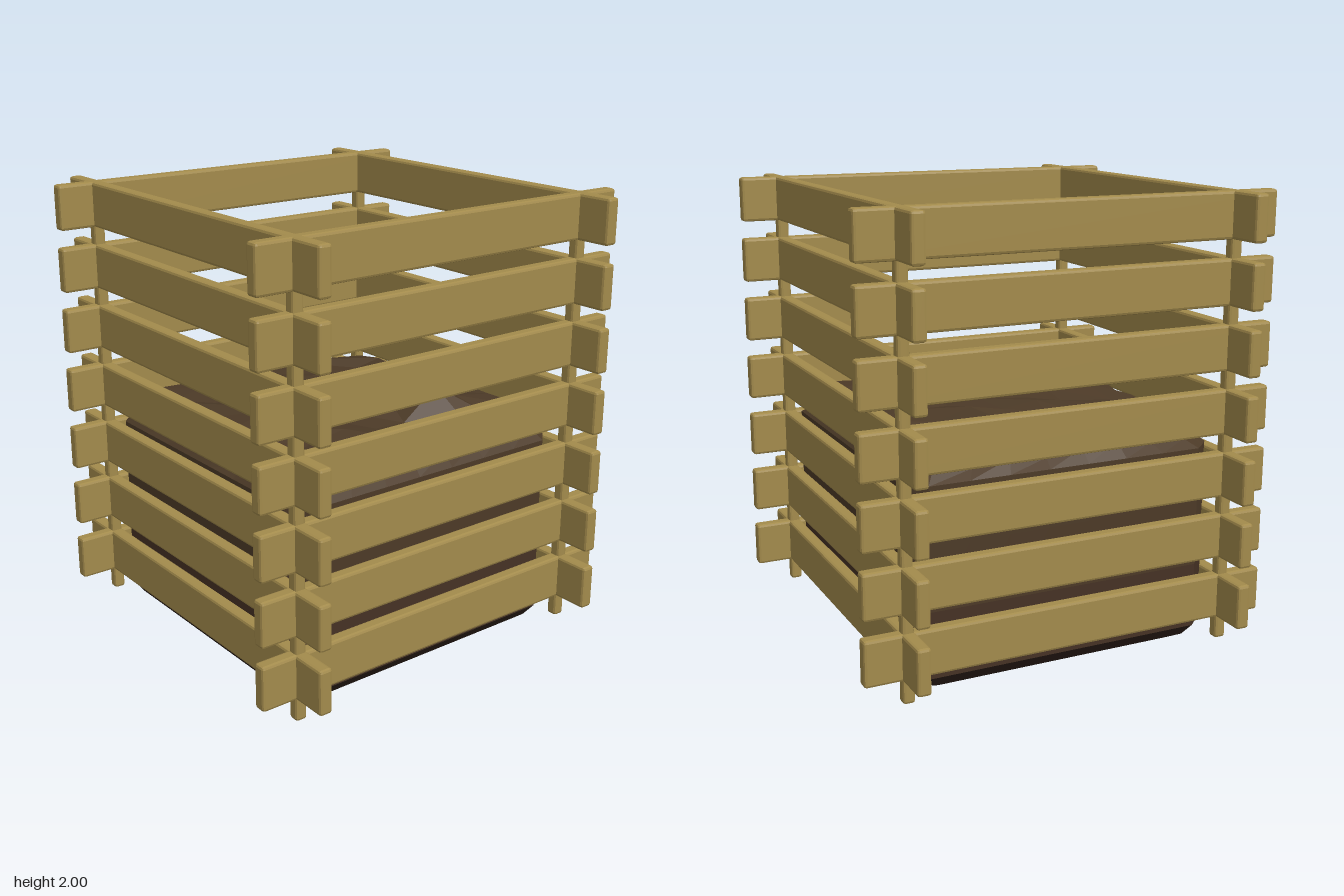
import * as THREE from 'three';
import { RoundedBoxGeometry } from 'three/addons/geometries/RoundedBoxGeometry.js';

const X = 0.75, Z = 0.745; // wall centre lines
const wood = new THREE.MeshStandardMaterial({ color: 0xa38b4c, flatShading: true });

// Bar with small chamfered edges
function bar(name, w, h, d, x, y, z) {
  const mesh = new THREE.Mesh(new RoundedBoxGeometry(w, h, d, 1, 0.012), wood);
  mesh.position.set(x, y, z);
  mesh.name = name;
  return mesh;
}

// Repeatable noise in -1..1
function noise(a, b) {
  const s = Math.sin(a * 127.1 + b * 311.7) * 43758.5453;
  return (s - Math.floor(s)) * 2 - 1;
}

// Height of the lumpy soil surface: low mound, one clod, one hollow
function soilHeight(x, z) {
  const mound = 1.07 - 0.14 * Math.max(Math.abs(x), Math.abs(z)) ** 2;
  const spot = (cx, cz, r) => Math.exp(-((x - cx) ** 2 + (z - cz) ** 2) / (r * r));
  return mound + 0.13 * spot(0.45, -0.25, 0.1) - 0.1 * spot(-0.42, -0.42, 0.13);
}

function makeSoil() {
  const n = 9;
  const levels = [0, 0.03, 0.08, 0.37, 0.65, 0.9, 0.95];
  const scales = [0.875, 0.95, 1, 1, 1, 1, 0.93];
  const stop = (i) => (i === 0 ? -0.72 : i === n ? 0.72 : -0.63 + (i - 1) * 0.18);
  const box = new THREE.BoxGeometry(n, levels.length - 1, n, n, levels.length - 1, n);
  const p = box.attributes.position;
  for (let v = 0; v < p.count; v++) {
    const i = Math.round(p.getX(v) + n / 2);
    const k = Math.round(p.getZ(v) + n / 2);
    const j = Math.round(p.getY(v) + (levels.length - 1) / 2);
    let x = stop(i), z = stop(k), y = levels[j];
    const edgeX = i === 0 || i === n, edgeZ = k === 0 || k === n;
    if (edgeX && edgeZ) { x *= 0.94; z *= 0.94; } // cut corners
    x *= scales[j];
    z *= scales[j];
    if (j === levels.length - 1) {
      if (edgeX || edgeZ) {
        y += 0.02 * noise(i, k);
      } else {
        x += 0.04 * noise(i, k + 20);
        z += 0.04 * noise(i + 20, k);
        y = soilHeight(x, z) + 0.03 * noise(i, k);
      }
    }
    p.setXYZ(v, x, y, z);
  }

  // Split into layers that darken towards the ground
  const layers = [
    { name: 'soilBase', top: 0.075, color: 0x2b1e17, points: [] },
    { name: 'soilLower', top: 0.4, color: 0x453124, points: [] },
    { name: 'soilUpper', top: 9, color: 0x4c3a27, points: [] },
  ];
  const q = box.toNonIndexed().attributes.position;
  for (let v = 0; v < q.count; v += 3) {
    const mid = (q.getY(v) + q.getY(v + 1) + q.getY(v + 2)) / 3;
    const layer = layers.find((l) => mid < l.top);
    for (let c = v; c < v + 3; c++) layer.points.push(q.getX(c), q.getY(c), q.getZ(c));
  }
  const soil = new THREE.Group();
  soil.name = 'soil';
  for (const { name, color, points } of layers) {
    const g = new THREE.BufferGeometry();
    g.setAttribute('position', new THREE.Float32BufferAttribute(points, 3));
    g.computeVertexNormals();
    const mesh = new THREE.Mesh(g, new THREE.MeshStandardMaterial({ color, flatShading: true }));
    mesh.name = name;
    soil.add(mesh);
  }
  return soil;
}

export function createModel() {
  const model = new THREE.Group();
  model.name = 'compostBin';

  // Seven tiers of crossing slats
  for (let i = 0; i < 7; i++) {
    const y = 0.225 + i * 0.2792;
    const tier = new THREE.Group();
    tier.name = 'slatTier';
    for (const s of [1, -1]) {
      tier.add(bar(s > 0 ? 'frontSlat' : 'backSlat', 1.88, 0.2, 0.06, 0, y, s * Z));
      tier.add(bar(s > 0 ? 'leftSlat' : 'rightSlat', 0.06, 0.2, 1.87, s * X, y, 0));
    }
    model.add(tier);
  }

  // Corner posts
  for (const sx of [1, -1])
    for (const sz of [1, -1])
      model.add(bar('cornerPost', 0.052, 1.93, 0.052, sx * X, 0.985, sz * Z));

  model.add(makeSoil());
  return model;
}
